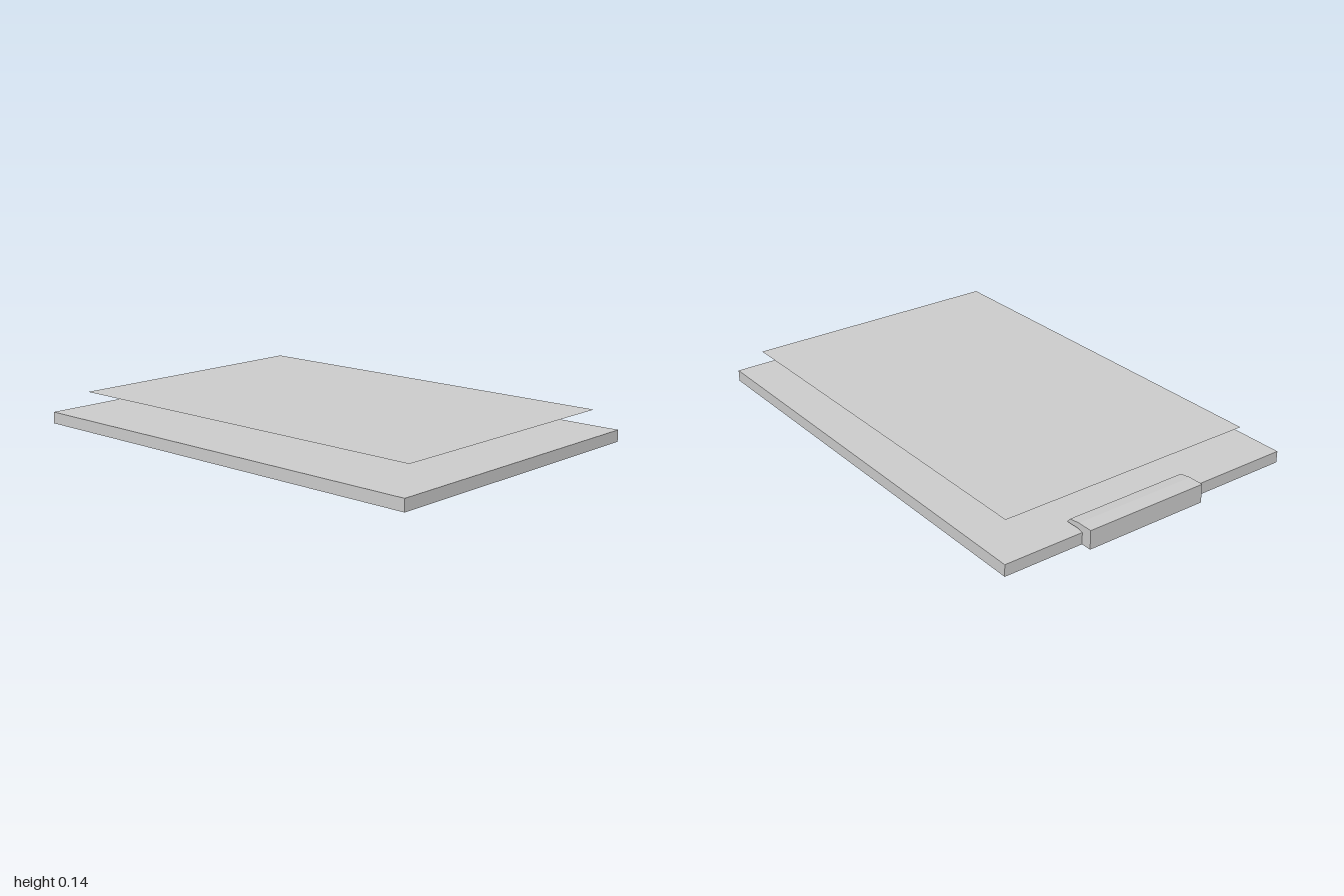
import * as THREE from 'three';

export function createModel() {
  const model = new THREE.Group();
  model.name = 'clipboard';

  const grey = new THREE.MeshStandardMaterial({ color: 0xcccccc, side: THREE.DoubleSide });
  grey.name = 'plain grey';

  function add(name, geometry, x, y, z) {
    const mesh = new THREE.Mesh(geometry, grey);
    mesh.name = name;
    mesh.position.set(x, y, z);
    model.add(mesh);
  }

  // Backing board
  add('board', new THREE.BoxGeometry(1.36, 0.05, 1.955), 0, 0.025, 0.0225);

  // Sheet of paper held above the board
  add('paper', new THREE.PlaneGeometry(1.17, 1.775).rotateX(-Math.PI / 2), 0.003, 0.14, 0.05);

  // Clip: side profile (z, y) swept across x, hooked over the back edge
  const profile = new THREE.Shape([
    [-1, 0], [-0.955, 0], [-0.955, 0.05], [-0.93, 0.055], [-0.87, 0.055],
    [-0.885, 0.073], [-0.935, 0.08], [-1, 0.08],
  ].map(([z, y]) => new THREE.Vector2(z, y)));
  const clip = new THREE.ExtrudeGeometry(profile, { depth: 0.55, bevelEnabled: false });
  clip.rotateY(-Math.PI / 2);
  add('clip', clip, 0.33, 0, 0);

  return model;
}
